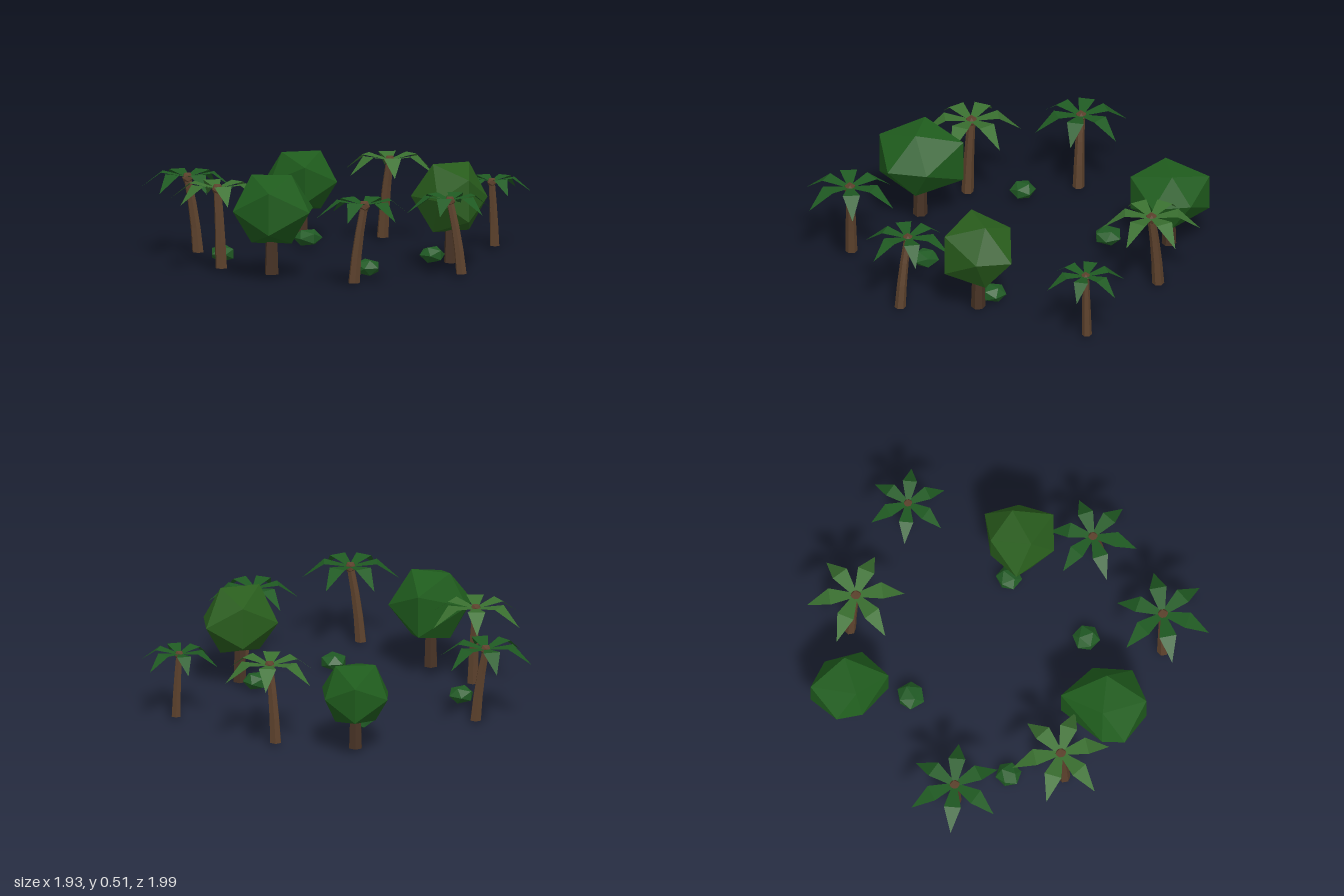
import * as THREE from 'three';

const mat = (color, side = THREE.FrontSide) =>
  new THREE.MeshStandardMaterial({ color, side, flatShading: true });
const rad = THREE.MathUtils.degToRad;
const bark = mat(0x5c412c), darkBark = mat(0x483325), bushGreen = mat(0x205a24);

function add(parent, name, geometry, material, x = 0, y = 0, z = 0) {
  const mesh = new THREE.Mesh(geometry, material);
  mesh.name = name;
  mesh.position.set(x, y, z);
  parent.add(mesh);
  return mesh;
}

// Twenty-sided crown whose widest ring follows a six-point outline [x, z]
function crownGeometry(outline, halfHeight, turn) {
  const g = new THREE.IcosahedronGeometry(1, 0);
  const p = g.attributes.position;
  for (let i = 0; i < p.count; i++) {
    const x = p.getX(i), y = p.getY(i), z = p.getZ(i);
    if (Math.abs(y) > 0.7) { // top and bottom ridge
      const r = x * 0.19;
      p.setXYZ(i, r * Math.cos(turn), Math.sign(y) * halfHeight, r * Math.sin(turn));
    } else {
      const k = (Math.round((Math.atan2(z, x) + Math.PI / 2) / (Math.PI / 3)) + 6) % 6;
      p.setXYZ(i, outline[k][0], y * halfHeight / 0.851, outline[k][1]);
    }
  }
  g.computeVertexNormals();
  return g;
}

function roundTree({ x, z, y, half, turn, outline, color }) {
  const tree = new THREE.Group();
  tree.name = 'roundTree';
  tree.position.set(x, 0, z);
  add(tree, 'treeTrunk', new THREE.CylinderGeometry(0.028, 0.036, 0.24, 6), darkBark, 0, 0.14, 0);
  add(tree, 'treeCrown', crownGeometry(outline, half, rad(turn)), mat(color), 0, y, 0);
  return tree;
}

// Leaf along +x: narrow root, wide fold, drooping tip
function leafGeometry() {
  const g = new THREE.BufferGeometry();
  g.setAttribute('position', new THREE.Float32BufferAttribute([
    0, 0, 0.01, 0, 0, -0.01, 0.13, 0.025, -0.043, 0.13, 0.025, 0.043, 0.24, -0.06, 0,
  ], 3));
  g.setIndex([0, 2, 1, 0, 3, 2, 3, 4, 2]);
  const flat = g.toNonIndexed();
  flat.computeVertexNormals();
  return flat;
}

function palm({ head, base, size, turn, color }) {
  const tree = new THREE.Group();
  tree.name = 'palm';
  const [hx, hy, hz] = head, [bx, bz] = base;

  // Tapered trunk, leaning and gently curved
  const height = hy - 0.02;
  const trunk = new THREE.CylinderGeometry(0.02 * size, 0.03 * size, height, 6, 3);
  const p = trunk.attributes.position;
  for (let i = 0; i < p.count; i++) {
    const t = p.getY(i) / height + 0.5;
    const s = 0.5 * t + 0.5 * t * t;
    p.setX(i, p.getX(i) + bx + (hx - bx) * s);
    p.setZ(i, p.getZ(i) + bz + (hz - bz) * s);
  }
  add(tree, 'palmTrunk', trunk, bark, 0, 0.02 + height / 2, 0);

  const crown = new THREE.Group();
  crown.name = 'palmCrown';
  crown.position.set(hx, hy, hz);
  crown.scale.setScalar(size);
  add(crown, 'palmHeart', new THREE.IcosahedronGeometry(0.03, 0), bark);
  const leaf = leafGeometry(), green = mat(color, THREE.DoubleSide);
  for (let i = 0; i < 6; i++) {
    add(crown, 'palmLeaf', leaf, green, 0, 0.005, 0).rotation.y = -rad(turn + i * 60);
  }
  tree.add(crown);
  return tree;
}

export function createModel() {
  const model = new THREE.Group();
  model.name = 'treeCircle';

  // Round trees
  [
    { x: -0.1, z: -0.8, y: 0.303, half: 0.145, turn: -6, color: 0x1f5c1d,
      outline: [[0, -0.2], [0.15, -0.1], [0.165, 0.09], [-0.015, 0.19], [-0.16, 0.03], [-0.16, -0.1]] },
    { x: -0.46, z: 0.41, y: 0.345, half: 0.17, turn: 17, color: 0x1f5c1d,
      outline: [[0.06, -0.21], [0.21, -0.02], [0.16, 0.17], [-0.05, 0.2], [-0.205, 0.06], [-0.18, -0.05]] },
    { x: 0.48, z: 0.175, y: 0.347, half: 0.17, turn: -17, color: 0x285c1c,
      outline: [[-0.016, -0.16], [0.165, -0.155], [0.18, 0.02], [0.06, 0.17], [-0.09, 0.145], [-0.19, -0.065]] },
  ].forEach((t) => model.add(roundTree(t)));

  // Palms
  const deep = 0x1f5a22, light = 0x3a7030;
  [
    { head: [-0.74, 0.39, -0.4], base: [-0.69, -0.385], size: 0.98, turn: 16, color: deep },
    { head: [0.325, 0.405, -0.69], base: [0.295, -0.725], size: 1.01, turn: 34, color: light },
    { head: [0.775, 0.338, -0.34], base: [0.79, -0.345], size: 0.83, turn: 16, color: deep },
    { head: [-0.685, 0.41, 0.145], base: [-0.67, 0.165], size: 1.02, turn: -32, color: light },
    { head: [0.415, 0.378, 0.52], base: [0.465, 0.56], size: 0.92, turn: -7, color: deep },
    { head: [-0.06, 0.403, 0.78], base: [-0.11, 0.77], size: 1, turn: 0, color: deep },
  ].forEach((p) => model.add(palm(p)));

  // Low bushes: [x, y, z, radius, turn]
  [
    [-0.12, 0.062, -0.5, 0.074, 20], [-0.615, 0.053, -0.105, 0.066, 60],
    [0.02, 0.042, 0.41, 0.07, 100], [0.4, 0.05, 0.095, 0.066, 40],
  ].forEach(([x, y, z, r, turn]) => {
    const bush = add(model, 'bush', new THREE.IcosahedronGeometry(1, 0), bushGreen, x, y, z);
    bush.scale.set(r, 0.045, r);
    bush.rotation.y = rad(turn);
  });

  return model;
}
